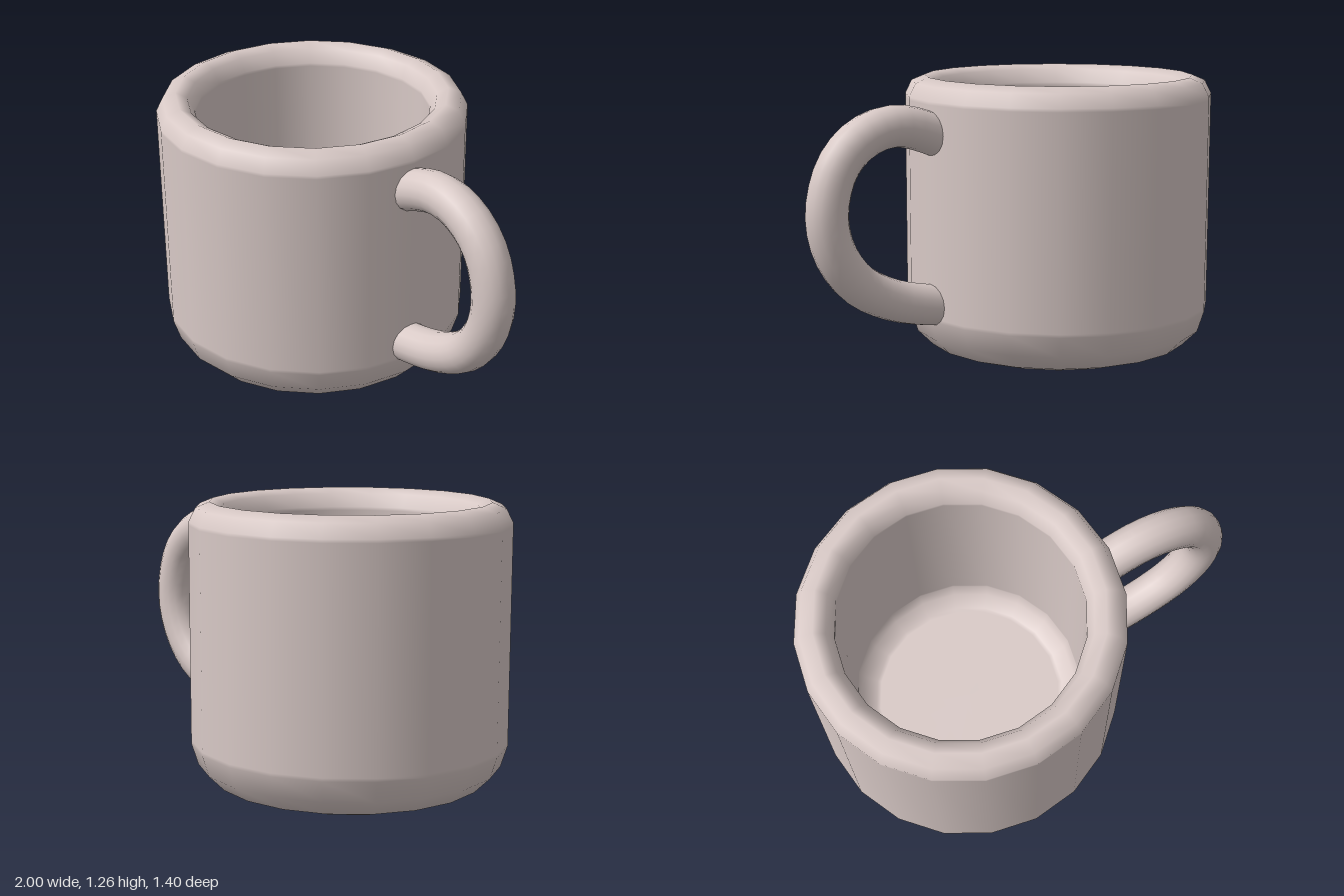
import * as THREE from 'three';

export function createModel() {
  const mug = new THREE.Group();
  mug.name = 'mug';

  const clay = new THREE.MeshStandardMaterial({ color: 0xd8c9c6 });
  clay.name = 'warm grey clay';

  // Cup: one closed profile, from the base up the outside, over the rim and down inside.
  // Paired points at the ends of long flats keep their shading even.
  const profile = [
    [0, 0], [0.48, 0], [0.5, 0.002], [0.6, 0.035], [0.67, 0.105], [0.7, 0.2], [0.7, 0.215],
    [0.7, 1.16], [0.7, 1.175], [0.67, 1.235], [0.61, 1.26], [0.56, 1.235], [0.53, 1.175], [0.53, 1.16],
    [0.53, 0.24], [0.53, 0.225], [0.51, 0.17], [0.45, 0.132], [0.43, 0.13], [0, 0.13],
  ].map(([r, y]) => new THREE.Vector2(r, y));
  const cup = new THREE.Mesh(new THREE.LatheGeometry(profile, 20), clay);
  cup.name = 'cup';
  cup.position.x = -0.3;
  mug.add(cup);

  // Handle: round tube whose ends are buried in the cup wall
  const path = [
    [0.31, 0.265], [0.4, 0.275], [0.6, 0.325], [0.77, 0.42], [0.872, 0.56], [0.907, 0.72],
    [0.868, 0.895], [0.79, 1.0], [0.675, 1.065], [0.55, 1.08], [0.4, 1.04], [0.31, 1.0],
  ].map(([x, y]) => new THREE.Vector3(x, y, 0));
  const curve = new THREE.CatmullRomCurve3(path);
  const handle = new THREE.Mesh(new THREE.TubeGeometry(curve, 28, 0.092, 16), clay);
  handle.name = 'handle';
  mug.add(handle);

  return mug;
}
